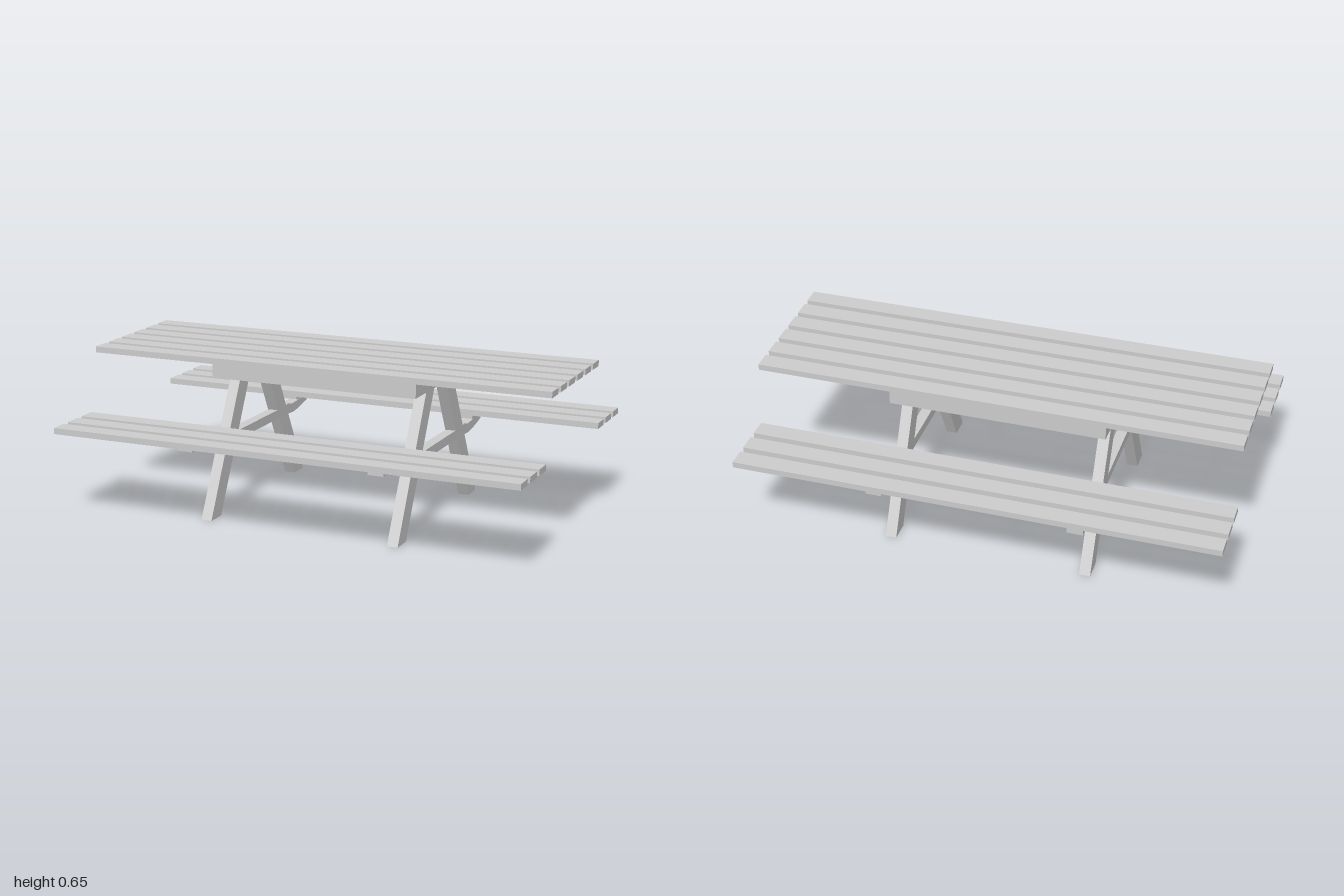
import * as THREE from 'three';

const wood = new THREE.MeshStandardMaterial({ color: 0xcccccc, flatShading: true });

export function createModel() {
  const table = new THREE.Group();
  table.name = 'picnicTable';

  // Box given by its limits on each axis
  const board = (name, [x0, x1], [y0, y1], [z0, z1], parent = table) => {
    const mesh = new THREE.Mesh(new THREE.BoxGeometry(x1 - x0, y1 - y0, z1 - z0), wood);
    mesh.position.set((x0 + x1) / 2, (y0 + y1) / 2, (z0 + z1) / 2);
    mesh.name = name;
    parent.add(mesh);
  };

  // Side profile of [z, y] points, extruded across x and centred on x = 0
  const profile = (name, points, width, parent) => {
    const shape = new THREE.Shape(points.map(([z, y]) => new THREE.Vector2(z, y)));
    const geometry = new THREE.ExtrudeGeometry(shape, { depth: width, bevelEnabled: false });
    geometry.translate(0, 0, -width / 2).rotateY(-Math.PI / 2);
    const mesh = new THREE.Mesh(geometry, wood);
    mesh.name = name;
    parent.add(mesh);
  };

  // Tabletop planks
  for (let i = 0; i < 6; i++) {
    const z = 0.25 - i * 0.106;
    board('tabletopPlank', [-1, 1], [0.628, 0.653], [z - 0.039, z + 0.039]);
  }

  // Bench planks, three on each side
  for (const side of [1, -1]) {
    for (let i = 0; i < 3; i++) {
      const z = side * (0.382 + i * 0.107);
      board('benchPlank', [-1, 1], [0.357, 0.382], [z - 0.039, z + 0.039]);
    }
  }

  // Long aprons under the front and back edges of the tabletop
  board('frontApron', [-0.455, 0.44], [0.568, 0.628], [0.256, 0.278]);
  board('backApron', [-0.455, 0.44], [0.568, 0.628], [-0.311, -0.289]);

  // Curved brace: one half outline, mirrored front to back
  const under = [[0.526, 0.335], [0.486, 0.307], [0.394, 0.287], [0.345, 0.281], [0.28, 0.285]];
  const over = [[0.25, 0.324], [0.29, 0.33], [0.336, 0.321], [0.39, 0.324], [0.45, 0.335]];
  const half = [...over, ...under];
  const mirrored = half.map(([z, y]) => [-z, y]).reverse();

  // Two trestle frames, set slightly out of line with each other
  for (const [x, z] of [[0.4075, -0.01], [-0.4225, -0.024]]) {
    const frame = new THREE.Group();
    frame.name = 'trestleFrame';
    frame.position.set(x, 0, z);
    table.add(frame);

    board('tableCleat', [-0.0325, 0.0325], [0.568, 0.628], [-0.287, 0.287], frame);
    profile('brace', [...half, ...mirrored], 0.044, frame);
    for (const side of [1, -1]) {
      // Splayed leg
      const leg = [[0.354, 0], [0.44, 0], [0.149, 0.568], [0.061, 0.568]];
      profile(side > 0 ? 'frontLeg' : 'backLeg', leg.map(([a, y]) => [side * a, y]), 0.046, frame);
      // Cleat under the bench planks
      const ends = [side * 0.36, side * 0.61].sort((a, b) => a - b);
      board('benchCleat', [-0.0325, 0.0325], [0.335, 0.357], ends, frame);
    }
  }

  return table;
}
